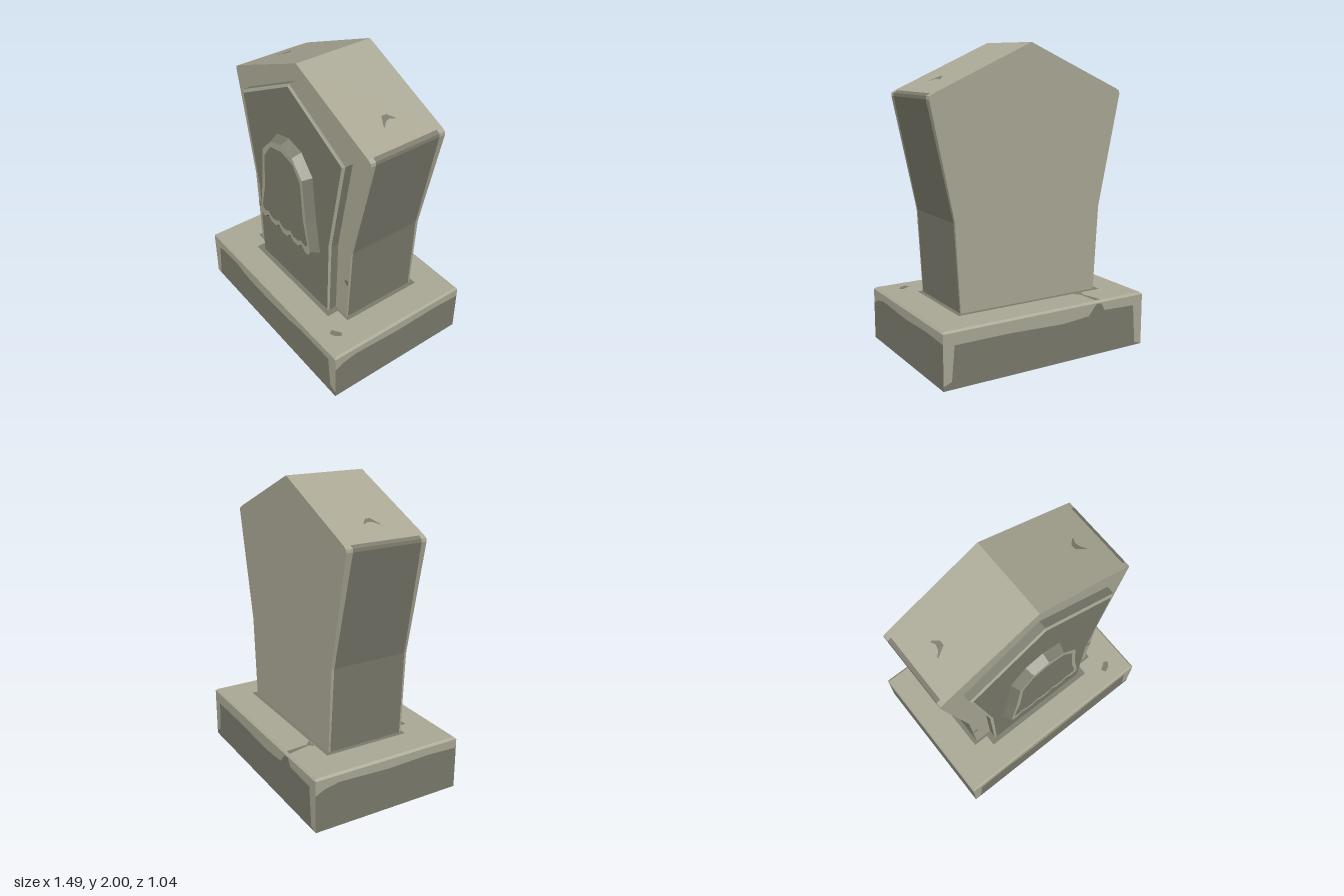
import * as THREE from 'three';

const paleStone = new THREE.MeshStandardMaterial({ color: 0xaaa895, side: THREE.DoubleSide });
paleStone.name = 'paleStone';
const darkStone = new THREE.MeshStandardMaterial({ color: 0x7b7a6c, side: THREE.DoubleSide });
darkStone.name = 'darkStone';

// Full outline from its right half, listed from the top down
const mirror = (half) => [
  ...half,
  ...half.filter((p) => p[0] !== 0).reverse().map(([x, y]) => [-x, y]),
];
const atZ = (pts, z) => pts.map(([x, y]) => [x, y, z]);

// Flat-faced strip of quads joining two rows of points
function strip(name, a, b, material, closed = false) {
  const v = [];
  const n = a.length;
  for (let i = 0; i < (closed ? n : n - 1); i++) {
    const j = (i + 1) % n;
    v.push(...a[i], ...b[j], ...b[i], ...a[i], ...a[j], ...b[j]);
  }
  const g = new THREE.BufferGeometry();
  g.setAttribute('position', new THREE.Float32BufferAttribute(v, 3));
  g.computeVertexNormals();
  const mesh = new THREE.Mesh(g, material);
  mesh.name = name;
  return mesh;
}

// Flat face from an outline in the XY plane
function plate(name, pts, z, material) {
  const shape = new THREE.Shape(pts.map(([x, y]) => new THREE.Vector2(x, y)));
  const mesh = new THREE.Mesh(new THREE.ShapeGeometry(shape), material);
  mesh.name = name;
  mesh.position.z = z;
  return mesh;
}

// Flat face lying on top of the plinth, given as [x, z]
function topPlate(name, pts, y, material) {
  const mesh = plate(name, pts.map(([x, z]) => [x, -z]), 0, material);
  mesh.rotation.x = -Math.PI / 2;
  mesh.position.set(0, y, 0);
  return mesh;
}

const rect = (x, z0, z1) => [[-x, z0], [x, z0], [x, z1], [-x, z1]];

function createPlinth() {
  const g = new THREE.Group();
  g.name = 'plinth';
  const W = 0.745, D = 0.522, H = 0.36, B = 0.013;

  // Worn upper edge of the dark area on each wall
  const longEdge = [[-W, 0], [-0.7, 0], [-0.675, 0.27], [-0.62, 0.285], [-0.41, 0.29], [-0.34, 0.27],
    [-0.24, 0.26], [0, 0.26], [0.22, 0.27], [0.36, 0.29], [0.67, 0.29], [0.69, 0.06], [0.73, 0.04], [W, 0.035]];
  const backEdge = [[-W, 0.03], [-0.69, 0.05], [-0.67, 0.27], [-0.3, 0.27], [0.1, 0.255], [0.3, 0.27],
    [0.36, 0.34], [0.4, 0.34], [0.43, 0.29], [0.67, 0.28], [0.69, 0.02], [W, 0]];
  const sideEdge = [[-D, 0.25], [-0.46, 0.28], [-0.36, 0.3], [0, 0.285], [0.3, 0.295], [D, 0.285]];
  const walls = [
    ['frontWall', longEdge, 0, D], ['leftWall', sideEdge, Math.PI / 2, W],
    ['backWall', backEdge, Math.PI, D], ['rightWall', sideEdge, -Math.PI / 2, W],
  ];
  for (const [name, edge, turn, dist] of walls) {
    const wall = new THREE.Group();
    wall.name = name;
    const row = (f) => edge.map(([u, y]) => [u, f(y), dist]);
    wall.add(strip('darkFace', row(() => 0), row((y) => y), darkStone));
    wall.add(strip('paleRim', row((y) => y), row(() => H - B), paleStone));
    wall.rotation.y = turn;
    g.add(wall);
  }

  // Chamfer and top
  const ring = (w, d, y) => [[-w, y, d], [w, y, d], [w, y, -d], [-w, y, -d]];
  g.add(strip('chamfer', ring(W, D, H - B), ring(W - B, D - B, H), paleStone, true));
  g.add(topPlate('top', rect(W - B, -D + B, D - B), H, paleStone));

  // Dark seams, crack and stain on the top
  g.add(topPlate('seamAroundSlab', rect(0.535, -0.32, 0.265), H + 0.003, darkStone));
  g.add(topPlate('seamAroundPanel', rect(0.43, 0.265, 0.345), H + 0.003, darkStone));
  g.add(topPlate('crack', [[-0.4, -0.509], [-0.36, -0.509], [-0.35, -0.36], [-0.31, -0.325], [-0.39, -0.325], [-0.365, -0.36]],
    H + 0.004, darkStone));
  g.add(topPlate('stain', [[0.54, 0.4], [0.6, 0.36], [0.62, 0.38], [0.6, 0.41], [0.56, 0.43]], H + 0.004, darkStone));
  return g;
}

function createSlab() {
  const g = new THREE.Group();
  g.name = 'slab';
  const F = 0.25, R = -0.293, bottom = 0.345;
  const half = [[0, 2], [0.668, 1.705], [0.692, 1.69], [0.695, 1.67], [0.538, 0.93], [0.505, bottom]];
  const outline = mirror(half);
  g.add(plate('front', outline, F, paleStone));
  g.add(plate('back', outline, R, paleStone));

  // Roof slopes and sides with pale worn edges
  const frontInset = [0.035, 0.035, 0.035, 0.015, 0.01];
  const backInset = [0.043, 0.043, 0.043, 0.02, 0.012];
  for (const s of [1, -1]) {
    const pts = half.map(([x, y]) => [s * x, y]);
    const flank = pts.slice(1);
    const f = atZ(flank, F), b = atZ(flank, R);
    const fi = flank.map(([x, y], i) => [x, y, F - frontInset[i]]);
    const bi = flank.map(([x, y], i) => [x, y, R + backInset[i]]);
    const roof = pts.slice(0, 2);
    g.add(strip('roofSlope', atZ(roof, F), atZ(roof, R), paleStone));
    g.add(strip('sideFrontEdge', f, fi, paleStone));
    g.add(strip('sideFace', fi, bi, darkStone));
    g.add(strip('sideBackEdge', bi, b, paleStone));

    // Small chip on the front edge, crescent stain on the roof
    g.add(plate('chip', [[s * 0.52, 0.69], [s * 0.49, 0.685], [s * 0.48, 0.67], [s * 0.5, 0.65], [s * 0.518, 0.65]],
      F + 0.003, darkStone));
    const roofY = (x) => 2 - x * 0.4416 + 0.004;
    const row = (xs) => xs.map((x, i) => [s * x, roofY(x), -0.065 + i * 0.0333]);
    g.add(strip('roofStain', row([0.51, 0.475, 0.475, 0.535]), row([0.52, 0.505, 0.515, 0.545]), darkStone));
  }
  g.add(strip('underside', [[-0.505, bottom, F], [0.505, bottom, F]],
    [[-0.505, bottom, R], [0.505, bottom, R]], darkStone));
  return g;
}

function createPanel() {
  const g = new THREE.Group();
  g.name = 'raisedPanel';
  const outer = mirror([[0, 1.89], [0.538, 1.605], [0.41, 0.93], [0.387, 0.335]]);
  const inner = mirror([[0, 1.87], [0.516, 1.592], [0.393, 0.93], [0.375, 0.335]]);
  g.add(strip('panelSides', atZ(outer, 0.25), atZ(outer, 0.302), darkStone, true));
  g.add(strip('panelRim', atZ(outer, 0.302), atZ(inner, 0.312), paleStone, true));
  g.add(plate('panelFace', inner, 0.312, darkStone));
  return g;
}

function createGhost() {
  const g = new THREE.Group();
  g.name = 'ghostRelief';
  // Three matching outlines: foot of the bevel, front edge, dark centre
  const foot = mirror([[0, 1.512], [0.13, 1.48], [0.24, 1.355], [0.27, 1.05], [0.308, 0.81], [0.295, 0.765],
    [0.245, 0.748], [0.19, 0.795], [0.155, 0.758], [0.1, 0.758], [0.065, 0.795], [0.03, 0.755], [0, 0.747]]);
  const front = mirror([[0, 1.485], [0.115, 1.455], [0.215, 1.345], [0.245, 1.05], [0.282, 0.825], [0.272, 0.797],
    [0.235, 0.788], [0.19, 0.825], [0.155, 0.792], [0.1, 0.792], [0.065, 0.825], [0.03, 0.79], [0, 0.785]]);
  const centre = mirror([[0, 1.438], [0.12, 1.41], [0.195, 1.31], [0.215, 1.05], [0.255, 0.88], [0.25, 0.85],
    [0.225, 0.845], [0.185, 0.86], [0.155, 0.835], [0.1, 0.835], [0.065, 0.86], [0.03, 0.835], [0, 0.832]]);
  g.add(strip('ghostBevel', atZ(foot, 0.312), atZ(front, 0.374), darkStone, true));
  g.add(strip('ghostRim', atZ(front, 0.374), atZ(centre, 0.374), paleStone, true));
  g.add(plate('ghostCentre', centre, 0.374, darkStone));
  g.position.x = -0.006;
  return g;
}

export function createModel() {
  const model = new THREE.Group();
  model.name = 'gravestone';
  model.add(createPlinth(), createSlab(), createPanel(), createGhost());
  return model;
}
